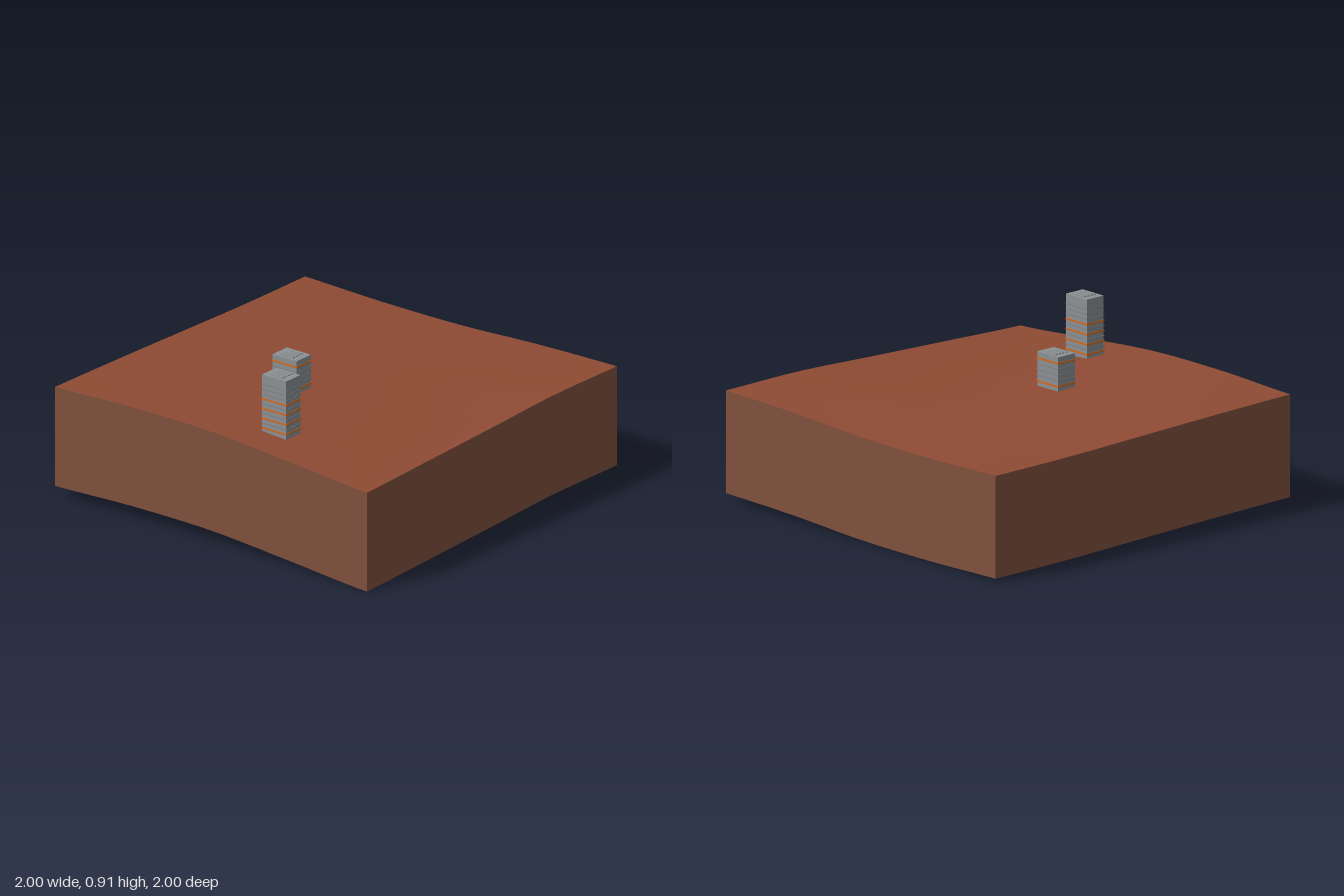
import * as THREE from 'three';

const SKIRT = 0.535;

// Ground height along each rim, sampled at -1, -0.5, 0, 0.5, 1
const rim = (ys) => new THREE.SplineCurve(ys.map((y, i) => new THREE.Vector2(i / 2 - 1, y)));
const front = rim([0.535, 0.551, 0.568, 0.586, 0.582]);
const back = rim([0.597, 0.588, 0.575, 0.562, 0.558]);
const left = rim([0.597, 0.613, 0.61, 0.574, 0.535]);
const right = rim([0.558, 0.547, 0.55, 0.572, 0.582]);

// Blend the four rims into one surface
function height(x, z) {
  const u = THREE.MathUtils.clamp((x + 1) / 2, 0, 1);
  const v = THREE.MathUtils.clamp((z + 1) / 2, 0, 1);
  const mix = THREE.MathUtils.lerp;
  const corners = mix(mix(0.597, 0.558, u), mix(0.535, 0.582, u), v);
  return mix(back.getPoint(u).y, front.getPoint(u).y, v)
    + mix(left.getPoint(v).y, right.getPoint(v).y, u) - corners;
}

// Replace each vertex height by the ground height, minus an optional drop
function drape(geo, drop) {
  const p = geo.attributes.position;
  for (let i = 0; i < p.count; i++) {
    p.setY(i, height(p.getX(i), p.getZ(i)) - drop(p.getY(i)));
  }
  geo.computeVertexNormals();
  return geo;
}

export function createModel() {
  const model = new THREE.Group();
  const material = (name, color, side = THREE.FrontSide) => {
    const m = new THREE.MeshStandardMaterial({ color, side });
    m.name = name;
    return m;
  };
  const soil = material('red soil', 0x8f4b34, THREE.DoubleSide);
  const earth = material('brown earth', 0x7f503d, THREE.DoubleSide);
  const concrete = material('grey concrete', 0x8c9194);
  const ledgeGrey = material('ledge grey', 0x7c8184);
  const orange = material('orange', 0xd2691e);

  const add = (parent, name, geo, mat, x = 0, y = 0, z = 0) => {
    const mesh = new THREE.Mesh(geo, mat);
    mesh.name = name;
    mesh.position.set(x, y, z);
    parent.add(mesh);
  };

  // Rolling ground
  const ground = new THREE.PlaneGeometry(2, 2, 32, 32).rotateX(-Math.PI / 2);
  add(model, 'ground', drape(ground, () => 0), soil);

  // Four skirt walls, open underneath
  ['frontWall', 'leftWall', 'backWall', 'rightWall'].forEach((name, i) => {
    const a = i * Math.PI / 2;
    const wall = new THREE.PlaneGeometry(2, 1, 32, 1).rotateY(a)
      .translate(Math.sin(a), 0, Math.cos(a));
    add(model, name, drape(wall, (y) => (y < 0 ? SKIRT : 0)), earth);
  });

  // Tower block with a band per floor, some of them orange
  function tower(name, x, z, top, floorGap, floors, orangeFloors) {
    const base = 0.585, w = 0.114, d = 0.154;
    const g = new THREE.Group();
    g.name = name;
    g.position.set(x, 0, z);
    add(g, 'body', new THREE.BoxGeometry(w, top - base, d), concrete, 0, (top + base) / 2, 0);
    for (let i = 0; i < floors; i++) {
      const lit = orangeFloors.includes(i);
      add(g, lit ? 'orangeBand' : 'floorLedge',
        new THREE.BoxGeometry(w + 0.005, lit ? 0.009 : 0.004, d + 0.005),
        lit ? orange : ledgeGrey, 0, 0.615 + i * floorGap, 0);
    }
    // Low roof slats
    for (let i = 0; i < 4; i++) {
      add(g, 'roofSlat', new THREE.BoxGeometry(0.014, 0.006, 0.08), concrete,
        (i - 1.5) * 0.022, top + 0.002, 0);
    }
    model.add(g);
  }
  tower('tallTower', -0.75, 0.25, 0.902, 0.0262, 10, [0, 2, 4, 6]);
  tower('shortTower', -0.25, -0.083, 0.768, 0.03, 5, [0, 4]);

  return model;
}
